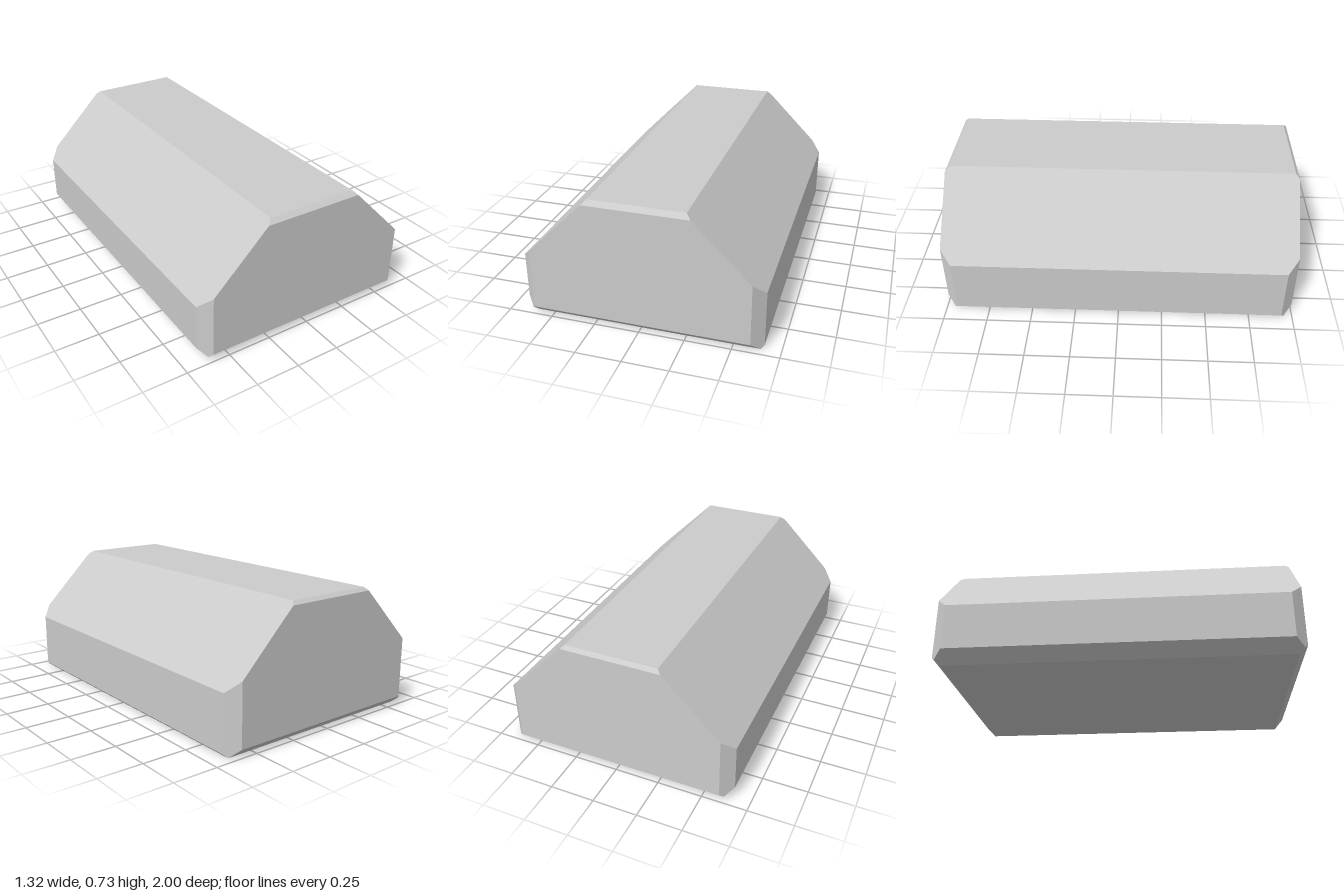
import * as THREE from 'three';
import { ConvexGeometry } from 'three/addons/geometries/ConvexGeometry.js';

// Corner points of the solid bounded by planes [nx, ny, nz, d], where n . p <= d
function cornersOf(planes) {
  const points = [];
  const cross = new THREE.Vector3();
  const ps = planes.map(([x, y, z, d]) => ({ n: new THREE.Vector3(x, y, z), d }));
  for (let i = 0; i < ps.length; i++)
    for (let j = i + 1; j < ps.length; j++)
      for (let k = j + 1; k < ps.length; k++) {
        const [a, b, c] = [ps[i], ps[j], ps[k]];
        const det = a.n.dot(cross.crossVectors(b.n, c.n));
        if (Math.abs(det) < 1e-6) continue;
        const p = cross.clone().multiplyScalar(a.d)
          .addScaledVector(new THREE.Vector3().crossVectors(c.n, a.n), b.d)
          .addScaledVector(new THREE.Vector3().crossVectors(a.n, b.n), c.d)
          .divideScalar(det);
        const inside = ps.every((q) => q.n.dot(p) <= q.d + 1e-5);
        if (inside && !points.some((o) => o.distanceTo(p) < 1e-4)) points.push(p);
      }
  return points;
}

export function createModel() {
  const planes = [
    [0, 1, 0, 0.73], [0, -1, 0, 0],   // flat top and base
    [-1, -1, 0, 0.59],                // wide lower bevel on the -x side
    [1, -1, 0, 0.645],                // narrow lower bevel on the +x side
    [0, 1, 1, 1.705], [0, 1, -1, 1.711], // small bevels at the ends of the top
  ];
  for (const s of [-1, 1]) {
    planes.push(
      [s, 0, 0, 0.66],                // side walls
      [0, 0, s, 1],                   // end walls
      [s, 1, 0, 0.99],                // sloping roof sides
      [0, -1, s, 0.955],              // lower end bevels
      [s, 0, 1, 1.597], [s, 0, -1, 1.597] // upright corner bevels
    );
  }
  const material = new THREE.MeshStandardMaterial({ color: 0xcccccc, flatShading: true });
  const body = new THREE.Mesh(new ConvexGeometry(cornersOf(planes)), material);
  body.name = 'bevelledBlock';

  const model = new THREE.Group();
  model.name = 'block';
  model.add(body);
  return model;
}
